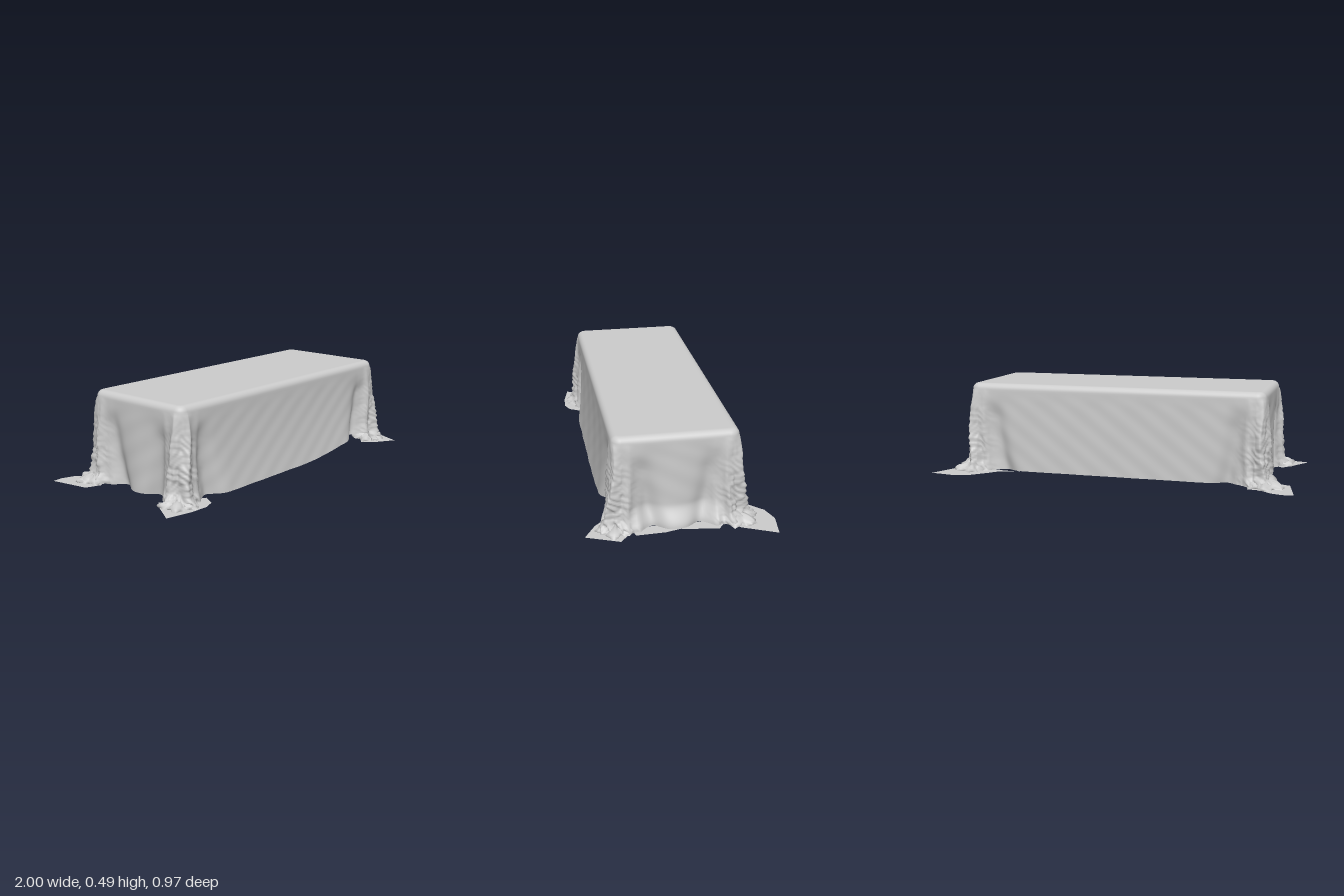
import * as THREE from 'three';

const X = 0.83, ZB = -0.305, ZF = 0.335, H = 0.495, R = 0.05, EDGE = 0.035;
const bell = (v, w) => Math.exp(-(v / w) * (v / w));
const smooth = THREE.MathUtils.smoothstep;

// Small repeatable wrinkle, about -1..1
const wrinkle = (a, b) => Math.sin(a * 71 + 3 * Math.sin(b * 19)) * Math.sin(b * 47 + 2 * Math.sin(a * 33));

// Outline of the table top: points with outward normals and distance to the nearest corner
function outline() {
  const pts = [];
  const corners = [[X - R, ZF - R], [-X + R, ZF - R], [-X + R, ZB + R], [X - R, ZB + R]];
  const half = R * Math.PI / 4;
  corners.forEach(([cx, cz], k) => {
    const a0 = k * Math.PI / 2;
    for (let i = 0; i < 24; i++) {
      const f = i / 24, a = a0 + f * Math.PI / 2;
      const nx = Math.cos(a), nz = Math.sin(a);
      pts.push({ x: cx + R * nx, z: cz + R * nz, nx, nz, d: (f * 2 - 1) * half, corner: k });
    }
    const [ex, ez] = corners[(k + 1) % 4];
    const nx = Math.cos(a0 + Math.PI / 2), nz = Math.sin(a0 + Math.PI / 2);
    const len = Math.hypot(ex - cx, ez - cz), n = Math.round(len / 0.011);
    for (let i = 0; i < n; i++) {
      const f = i / n, near = f < 0.5;
      pts.push({
        x: cx + (ex - cx) * f + R * nx, z: cz + (ez - cz) * f + R * nz, nx, nz,
        d: near ? half + f * len : -half - (1 - f) * len, corner: near ? k : (k + 1) % 4,
      });
    }
  });
  return pts;
}

// How far the hanging cloth stands off the box at depth t (0 top, 1 floor)
function drape(p, t) {
  const { d, corner, x, z, nx, nz } = p;
  const hang = Math.pow(t, 0.65);
  const gather = bell(d, 0.085);
  const pleat = 1 - 2 * Math.abs(Math.sin(d * 46 + corner * 1.3 + 0.5 * Math.sin(t * 5 + corner)));
  let o = gather * (hang * (0.045 + 0.022 * pleat) + 0.012 * t * wrinkle(d * 2 + corner, t));
  o += gather * 0.035 * smooth(t, 0.86, 1) * (1 + 0.6 * wrinkle(d * 3, corner + t * 2));
  // valley where the wall swings into the gathered corner
  o -= 0.04 * hang * bell(Math.abs(d) - 0.13 - 0.06 * t * t, 0.05) * smooth(t, 0.05, 0.35);
  const front = Math.max(nz, 0), end = Math.abs(nx);
  o += front * 0.035 * t * t * (1 - smooth(Math.abs(x), 0.5, 0.72));
  // soft waves on the short ends, and a spread hem on one of them
  o += end * 0.008 * t * Math.sin(z * 24 + 1) * (1 - gather);
  if (nx > 0.9) o += 0.045 * smooth(t, 0.75, 1) * (1 - smooth(Math.abs(z - 0.02), 0.18, 0.27));
  o += 0.0015 * smooth(t, 0, 0.2) * Math.sin(x * 31 + t * 9) * Math.sin(z * 27 + t * 14 + x * 8);
  return o;
}

function clothGeometry() {
  const pts = outline(), n = pts.length, pos = [], idx = [];
  const put = (p, o, y) => pos.push(p.x + p.nx * o, y, p.z + p.nz * o);
  const ROUND = 7, DROP = 44;
  // flat inset ring, then the rounded edge
  pts.forEach(p => put(p, -EDGE - 0.01, H));
  for (let j = 0; j <= ROUND; j++) {
    const a = j / ROUND * Math.PI / 2;
    pts.forEach(p => put(p, EDGE * (Math.sin(a) - 1), H - EDGE * (1 - Math.cos(a))));
  }
  // hanging walls, with the front hem lifted toward one end
  for (let j = 1; j <= DROP; j++) {
    const t = j / DROP;
    pts.forEach(p => {
      const lift = p.nz > 0.9 ? 0.055 * smooth(p.x, 0.1, 0.74) * (1 - smooth(p.x, 0.74, 0.78)) : 0;
      put(p, drape(p, t), THREE.MathUtils.lerp(H - EDGE, 0.004 + lift, t));
    });
  }
  const rows = ROUND + DROP + 2;
  for (let j = 0; j < rows - 1; j++) {
    for (let i = 0; i < n; i++) {
      const a = j * n + i, b = j * n + (i + 1) % n;
      idx.push(a, b, a + n, b, b + n, a + n);
    }
  }
  // top sheet
  const centre = pos.length / 3;
  pos.push(0, H, (ZF + ZB) / 2);
  for (let i = 0; i < n; i++) idx.push(centre, (i + 1) % n, i);
  const g = new THREE.BufferGeometry();
  g.setAttribute('position', new THREE.Float32BufferAttribute(pos, 3));
  g.setIndex(idx);
  g.computeVertexNormals();
  return g;
}

// Flat piece of cloth lying on the floor, given as x, z pairs
function floorFlap(name, points, material) {
  const shape = new THREE.Shape(points.map(([x, z]) => new THREE.Vector2(x, -z)));
  const g = new THREE.ShapeGeometry(shape);
  g.rotateX(-Math.PI / 2);
  const m = new THREE.Mesh(g, material);
  m.name = name;
  m.position.y = 0.002;
  return m;
}

// Low crumpled heap where a corner gathers on the floor
function crumple(name, x, z, seed, material) {
  const g = new THREE.SphereGeometry(1, 28, 10, 0, Math.PI * 2, 0, Math.PI / 2);
  const p = g.attributes.position;
  for (let i = 0; i < p.count; i++) {
    const a = Math.atan2(p.getZ(i), p.getX(i)), y = p.getY(i);
    const s = 1 + 0.18 * Math.sin(a * 5 + seed) + 0.12 * Math.sin(a * 9 + y * 6 + seed * 2);
    p.setXYZ(i, p.getX(i) * 0.085 * s, y * 0.035 * (y > 0.99 ? 1 : s), p.getZ(i) * 0.085 * s);
  }
  g.computeVertexNormals();
  const m = new THREE.Mesh(g, material);
  m.name = name;
  m.position.set(x, 0.002, z);
  return m;
}

export function createModel() {
  const group = new THREE.Group();
  group.name = 'drapedTable';
  const cloth = new THREE.MeshStandardMaterial({ color: 0xcccccc, side: THREE.DoubleSide });
  cloth.name = 'light grey cloth';

  const sheet = new THREE.Mesh(clothGeometry(), cloth);
  sheet.name = 'tablecloth';
  group.add(sheet);

  // cloth corners spread on the floor
  const flaps = {
    backRightFlap: [[-1, -0.455], [-0.94, -0.46], [-0.88, -0.44], [-0.82, -0.39], [-0.75, -0.38], [-0.76, -0.3],
      [-0.83, -0.24], [-0.88, -0.21], [-0.96, -0.24]],
    backLeftFlap: [[1, -0.47], [0.86, -0.49], [0.77, -0.46], [0.7, -0.39], [0.65, -0.33], [0.53, -0.31],
      [0.78, -0.29], [0.86, -0.23], [0.92, -0.3]],
    frontLeftFlap: [[0.95, 0.31], [0.88, 0.48], [0.78, 0.42], [0.71, 0.35], [0.78, 0.3], [0.86, 0.24]],
    frontRightFlap: [[-1, 0.4], [-0.92, 0.27], [-0.87, 0.21], [-0.8, 0.27], [-0.66, 0.34], [-0.7, 0.41],
      [-0.76, 0.435], [-0.86, 0.43]],
    endHemFlap: [[0.83, -0.25], [0.91, -0.19], [0.89, -0.05], [0.88, 0], [0.9, 0.08], [0.905, 0.23], [0.83, 0.25]],
  };
  for (const [name, points] of Object.entries(flaps)) group.add(floorFlap(name, points, cloth));

  // crumpled heaps at the four corners
  [[0.83, 0.32, 'frontLeft'], [-0.84, 0.32, 'frontRight'], [-0.84, -0.31, 'backRight'], [0.83, -0.31, 'backLeft']]
    .forEach(([x, z, name], i) => group.add(crumple(name + 'Crumple', x, z, i * 1.7, cloth)));

  return group;
}
